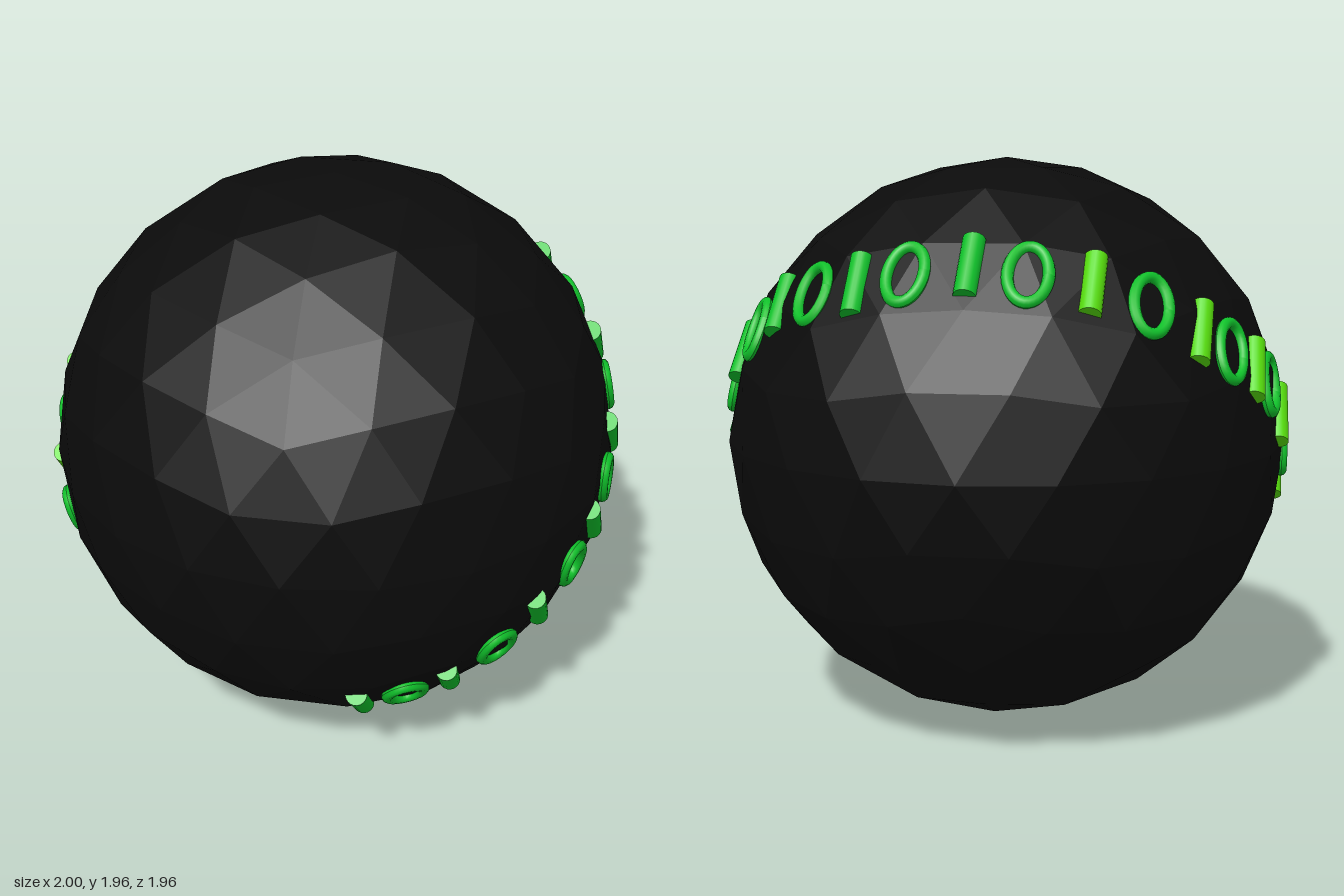
import * as THREE from 'three';

const R = 0.982;

const material = (name, color) => {
  const m = new THREE.MeshStandardMaterial({ color });
  m.name = name;
  return m;
};

// Faceted ball: an icosahedron with a vertex on top, each face split twice
function ballGeometry() {
  const ring = (y, turn) => [0, 1, 2, 3, 4].map((k) => {
    const a = ((k + turn) * Math.PI * 2) / 5;
    return new THREE.Vector3(2 * Math.cos(a), y, 2 * Math.sin(a)).normalize();
  });
  const top = new THREE.Vector3(0, 1, 0), bottom = new THREE.Vector3(0, -1, 0);
  const up = ring(1, 0), low = ring(-1, 0.5);
  let faces = [];
  for (let k = 0; k < 5; k++) {
    const n = (k + 1) % 5;
    faces.push([top, up[n], up[k]], [up[k], up[n], low[k]],
      [low[k], up[n], low[n]], [bottom, low[k], low[n]]);
  }
  const mid = (a, b) => a.clone().add(b).normalize();
  for (let i = 0; i < 2; i++) {
    faces = faces.flatMap(([a, b, c]) => {
      const ab = mid(a, b), bc = mid(b, c), ca = mid(c, a);
      return [[a, ab, ca], [ab, b, bc], [ca, bc, c], [ab, bc, ca]];
    });
  }
  const g = new THREE.BufferGeometry().setFromPoints(faces.flat());
  g.scale(R, R, R);
  g.computeVertexNormals(); // unshared corners give flat facets
  return g;
}

// Oval ring: a torus stretched by moving its tube outward along y
function ovalGeometry() {
  const g = new THREE.TorusGeometry(0.064, 0.02, 10, 32);
  const p = g.attributes.position;
  for (let i = 0; i <= 10; i++) {
    for (let j = 0; j <= 32; j++) {
      const v = i * 33 + j;
      p.setY(v, p.getY(v) + 0.042 * Math.sin((j / 32) * Math.PI * 2));
    }
  }
  g.computeVertexNormals();
  return g;
}

// Directions of the marks along the band; bars and ovals alternate
const MARKS = [
  [0.412, -0.656, 0.59], [0.55, -0.62, 0.52], [0.663, -0.572, 0.42], [0.79, -0.464, 0.32],
  [0.888, -0.35, 0.20], [0.945, -0.242, 0.05], [0.965, -0.126, -0.07], [0.955, -0.03, -0.204],
  [0.92, 0.083, -0.314], [0.85, 0.198, -0.435], [0.77, 0.314, -0.51], [0.626, 0.405, -0.624],
  [0.51, 0.508, -0.69], [0.326, 0.55, -0.75], [0.144, 0.58, -0.77], [-0.03, 0.617, -0.754],
  [-0.225, 0.645, -0.695], [-0.40, 0.62, -0.636], [-0.572, 0.59, -0.524], [-0.717, 0.52, -0.406],
  [-0.834, 0.43, -0.262], [-0.893, 0.36, -0.15], [-0.93, 0.29, -0.005], [-0.94, 0.227, 0.10],
  [-0.942, 0.11, 0.225], [-0.92, -0.01, 0.34], [-0.85, -0.126, 0.47], [-0.76, -0.244, 0.565],
];

export function createModel() {
  const model = new THREE.Group();
  model.name = 'ballWithBand';
  const black = material('black', 0x0b0b0b);
  const green = material('green', 0x0fc02a);
  const lime = material('lime', 0x55da0c);

  const ball = new THREE.Mesh(ballGeometry(), black);
  ball.name = 'ball';
  ball.position.y = R;
  model.add(ball);

  // Band of half-sunk bars and ovals, upright across the band
  const band = new THREE.Group();
  band.name = 'markBand';
  band.position.y = R;
  model.add(band);
  const barGeo = new THREE.CylinderGeometry(0.037, 0.037, 0.225, 20);
  const ovalGeo = ovalGeometry();
  const axis = new THREE.Vector3(0.18, 0.75, 0.62).normalize();
  MARKS.forEach((m, i) => {
    const isBar = i % 2 === 0;
    const out = new THREE.Vector3(...m).normalize();
    const up = axis.clone().addScaledVector(out, -axis.dot(out)).normalize();
    const side = up.clone().cross(out);
    const mark = new THREE.Mesh(isBar ? barGeo : ovalGeo, isBar && i >= 18 ? lime : green);
    mark.name = isBar ? 'bar' : 'oval';
    mark.quaternion.setFromRotationMatrix(new THREE.Matrix4().makeBasis(side, up, out));
    mark.position.copy(out).multiplyScalar(isBar ? 0.964 : 0.972);
    band.add(mark);
  });
  return model;
}
